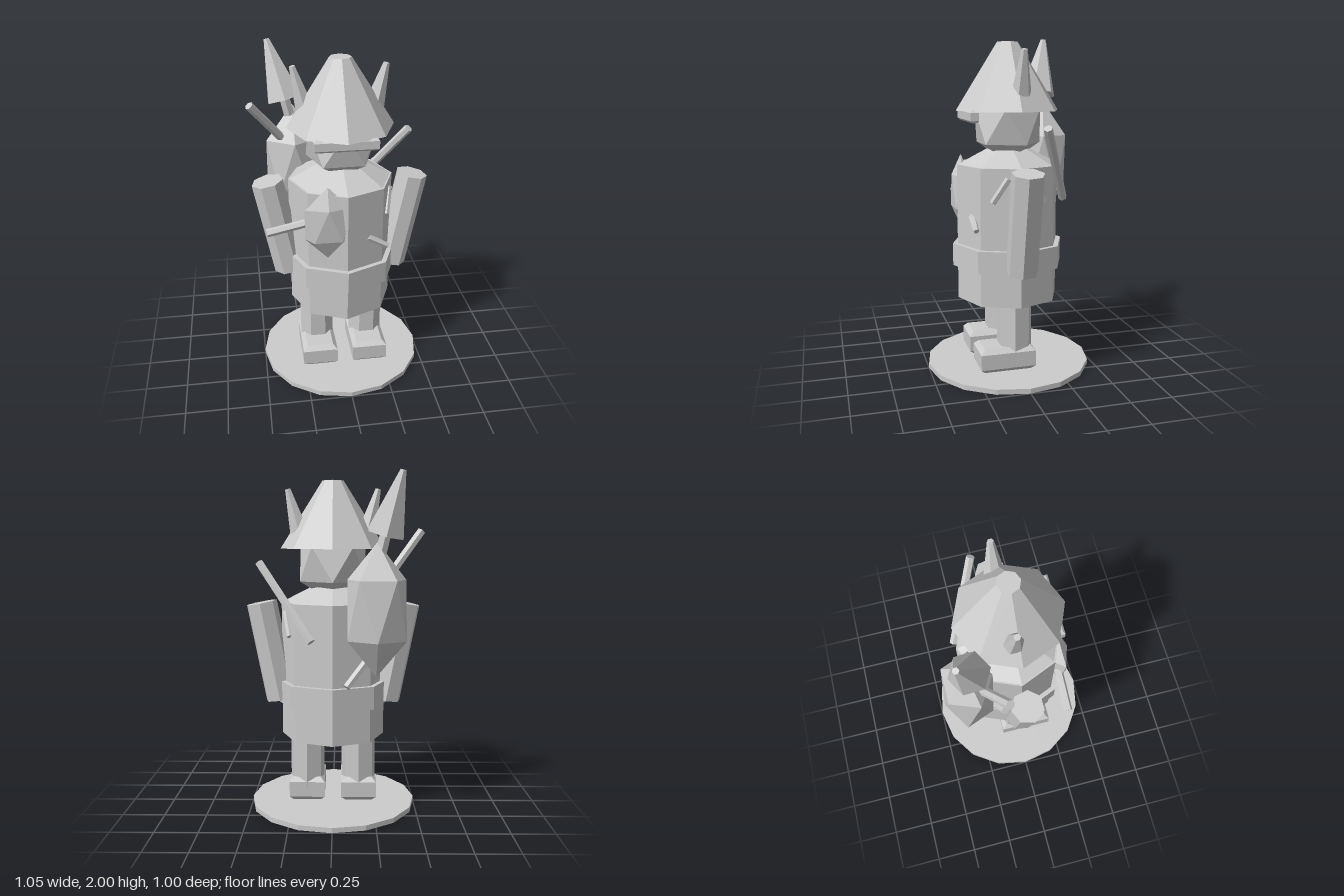
import * as THREE from 'three';

export function createModel() {
  const model = new THREE.Group();
  const stone = new THREE.MeshStandardMaterial({ color: 0xcccccc, flatShading: true });
  stone.name = 'paleGrey';

  const add = (name, geo, x = 0, y = 0, z = 0) => {
    const mesh = new THREE.Mesh(geo, stone);
    mesh.name = name;
    mesh.position.set(x, y, z);
    model.add(mesh);
    return mesh;
  };

  // Upright prism between two heights
  const prism = (name, y0, y1, r0, r1, sides, x = 0, turn = 0) =>
    add(name, new THREE.CylinderGeometry(r1, r0, y1 - y0, sides).rotateY(turn), x, (y0 + y1) / 2, 0);

  // Straight tapered rod from point a to point b
  const rod = (name, a, b, ra, rb, sides = 6, turn = 0) => {
    const p = new THREE.Vector3(...a), q = new THREE.Vector3(...b);
    const d = q.clone().sub(p);
    const geo = new THREE.CylinderGeometry(rb, ra, d.length(), sides).rotateY(turn);
    const mesh = add(name, geo, ...p.clone().add(q).multiplyScalar(0.5).toArray());
    mesh.quaternion.setFromUnitVectors(new THREE.Vector3(0, 1, 0), d.normalize());
    return mesh;
  };

  // Icosahedron standing on a corner, stretched to three radii
  const nugget = (name, rx, ry, rz, x, y, z) =>
    add(name, new THREE.IcosahedronGeometry(1, 0)
      .rotateZ(-Math.atan(2 / (1 + Math.sqrt(5)))).rotateY(-Math.PI / 2).scale(rx, ry, rz), x, y, z);

  // Box with chamfered edges
  const chamferBox = (name, w, h, d, c, x, y, z) => {
    const a = w / 2 - c, b = d / 2 - c;
    const shape = new THREE.Shape([
      [a, -b - c + c], [a, b], [-a, b], [-a, -b]
    ].map(p => new THREE.Vector2(...p)));
    const geo = new THREE.ExtrudeGeometry(shape, {
      depth: h - 2 * c, bevelEnabled: true, bevelSize: c, bevelThickness: c, bevelSegments: 1
    });
    geo.translate(0, 0, -(h - 2 * c) / 2).rotateX(-Math.PI / 2);
    return add(name, geo, x, y, z);
  };

  // Base disc
  prism('base', 0, 0.03, 0.5, 0.5, 16);

  // Body
  prism('skirt', 0.44, 0.65, 0.31, 0.31, 8);
  prism('belt', 0.645, 0.78, 0.34, 0.34, 8);
  prism('torso', 0.77, 1.255, 0.31, 0.31, 8);
  prism('collar', 1.25, 1.345, 0.31, 0.125, 8);

  // Head and hat
  nugget('head', 0.23, 0.23, 0.225, 0, 1.48, 0);
  prism('hat', 1.57, 1.965, 0.313, 0.063, 8);
  chamferBox('visor', 0.36, 0.07, 0.05, 0.012, 0, 1.542, 0.24);

  // Mirrored limbs and horns
  for (const s of [1, -1]) {
    const side = s > 0 ? 'left' : 'right';
    prism(side + 'Leg', 0.12, 0.46, 0.106, 0.106, 7, s * 0.157, Math.PI);
    chamferBox(side + 'Boot', 0.215, 0.145, 0.335, 0.026, s * 0.157, 0.107, 0.062);
    rod(side + 'Arm', [s * 0.318, 0.66, 0], [s * 0.432, 1.247, 0], 0.095, 0.095, 7, Math.PI);
    rod(side + 'Horn', [s * 0.2, 1.67, -0.025], [s * 0.265, 1.915, -0.025], 0.06, 0.018, 6);
  }

  // Strap pegs on the left flank
  for (const s of [1, -1])
    rod('strapPeg', [0.25, 1.06, s * 0.155], [0.28, 1.2, s * 0.07], 0.02, 0.02);

  // Sticks carried on the back
  rod('leftStick', [0.12, 1.05, -0.31], [0.43, 1.49, -0.11], 0.026, 0.026);
  rod('upperRightStick', [-0.2, 1.26, -0.31], [-0.51, 1.67, -0.12], 0.026, 0.026);
  rod('lowerRightStick', [-0.08, 0.79, -0.31], [-0.4, 1.18, -0.12], 0.024, 0.024);

  // Pack with neck and pointed cap
  nugget('pack', 0.195, 0.38, 0.165, -0.25, 1.23, -0.3);
  rod('packNeck', [-0.27, 1.55, -0.29], [-0.3, 1.68, -0.29], 0.035, 0.035);
  rod('packCap', [-0.295, 1.655, -0.28], [-0.383, 1.995, -0.345], 0.115, 0.018, 6);

  // Chest ornament with its tip and handles
  nugget('chestOrnament', 0.155, 0.225, 0.065, -0.11, 1.08, 0.265);
  rod('chestTip', [-0.11, 1.19, 0.26], [-0.1, 1.295, 0.262], 0.09, 0.005, 5).scale.z = 0.4;
  rod('chestHandle', [-0.455, 1.035, 0.245], [-0.12, 1.11, 0.25], 0.024, 0.024);
  rod('chestPeg', [0.13, 0.965, 0.25], [0.245, 0.9, 0.25], 0.02, 0.016);

  return model;
}
